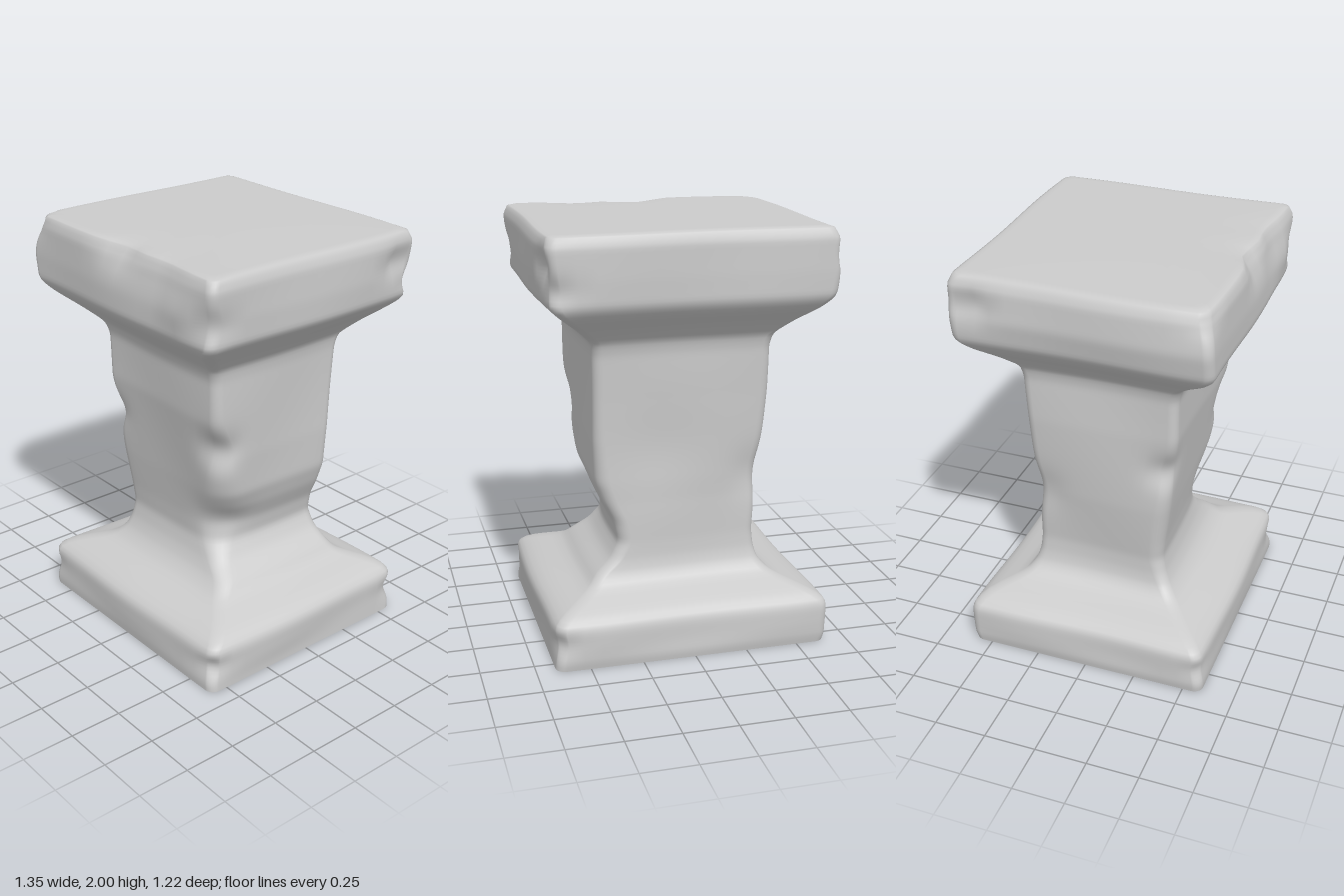
import * as THREE from 'three';

// Silhouette: height, then reach to -x, +x, -z (back), +z (front)
const PROFILE = [
  [0.00, 0.64, 0.66, 0.59, 0.59],
  [0.03, 0.65, 0.66, 0.60, 0.595],
  [0.18, 0.65, 0.67, 0.60, 0.595],
  [0.22, 0.64, 0.66, 0.59, 0.58],
  [0.26, 0.56, 0.60, 0.54, 0.50],
  [0.30, 0.43, 0.47, 0.41, 0.39],
  [0.36, 0.38, 0.42, 0.37, 0.33],
  [0.42, 0.365, 0.345, 0.355, 0.30],
  [0.50, 0.36, 0.30, 0.35, 0.28],
  [0.60, 0.37, 0.32, 0.35, 0.29],
  [0.70, 0.38, 0.37, 0.35, 0.305],
  [0.80, 0.39, 0.405, 0.355, 0.32],
  [1.00, 0.40, 0.42, 0.36, 0.345],
  [1.20, 0.41, 0.425, 0.365, 0.37],
  [1.42, 0.41, 0.43, 0.375, 0.375],
  [1.48, 0.425, 0.44, 0.39, 0.395],
  [1.55, 0.50, 0.51, 0.46, 0.47],
  [1.63, 0.60, 0.605, 0.56, 0.565],
  [1.68, 0.645, 0.66, 0.595, 0.605],
  [1.80, 0.67, 0.67, 0.60, 0.605],
  [1.95, 0.66, 0.67, 0.60, 0.595],
  [1.985, 0.635, 0.65, 0.58, 0.575],
];

// Local wear: centre x,y,z, radius, push x,y,z
const DENTS = [
  [0.02, 2.00, 0.60, 0.11, 0, -0.02, -0.06],
  [0.66, 1.78, 0.56, 0.08, -0.02, 0, -0.05],
  [0.45, 1.82, 0.60, 0.10, 0, 0, 0.02],
  [0.30, 1.98, 0.60, 0.14, 0, -0.01, -0.03],
  [-0.66, 1.85, -0.50, 0.08, 0.04, 0, 0.01],
  [0.66, 1.85, -0.50, 0.07, -0.04, 0, 0.01],
  [0.65, 1.75, -0.60, 0.07, -0.02, 0, 0.03],
  [-0.65, 1.95, 0.58, 0.07, 0.02, -0.01, -0.02],
  [0.66, 0.12, 0.59, 0.06, -0.03, 0, -0.03],
  [-0.65, 0.12, 0.59, 0.06, 0.02, 0, -0.02],
  [0.66, 0.12, -0.60, 0.07, -0.03, 0, 0.03],
  [-0.40, 1.02, 0.33, 0.09, 0.04, 0, -0.02],
  [0.40, 1.05, 0.33, 0.10, -0.03, 0, -0.05],
  [0.30, 0.62, 0.22, 0.12, -0.02, 0, -0.04],
  [-0.38, 0.80, -0.34, 0.12, 0.02, 0, 0.02],
  [0.10, 0.95, -0.36, 0.22, 0, 0, 0.02],
];

const lerp = THREE.MathUtils.lerp;

function sample(y) {
  let i = 1;
  while (i < PROFILE.length - 1 && PROFILE[i][0] < y) i++;
  const a = PROFILE[i - 1], b = PROFILE[i];
  const t = THREE.MathUtils.clamp((y - a[0]) / (b[0] - a[0]), 0, 1);
  return a.map((v, k) => lerp(v, b[k], t));
}

// Averages neighbouring heights so mouldings flow softly
function softSample(y) {
  const s = [-0.018, 0, 0.018].map(d => sample(y + d));
  return s[0].map((_, k) => (s[0][k] + s[1][k] * 2 + s[2][k]) / 4);
}

// Corner radii in order front-left, front-right, back-right, back-left
function cornerRadii(y) {
  const shaft = Math.exp(-(((y - 0.72) / 0.3) ** 2));
  return [0.045 + 0.1 * shaft, 0.045 + 0.025 * shaft, 0.045, 0.045 + 0.02 * shaft];
}

function wear(p) {
  const x = p.x, y = p.y, z = p.z;
  const edge = THREE.MathUtils.smoothstep(y, 0, 0.12);
  p.x += edge * 0.006 * Math.sin(5 * y + 6 * z);
  p.z += edge * 0.006 * Math.sin(6 * x + 4 * y + 1);
  if (y > 1.9) p.y += 0.005 * Math.cos(3 * x) * Math.cos(2 * z);
  for (const [cx, cy, cz, r, dx, dy, dz] of DENTS) {
    const d2 = (x - cx) ** 2 + (y - cy) ** 2 + (z - cz) ** 2;
    const w = Math.exp(-d2 / (r * r));
    p.x += dx * w; p.y += dy * w; p.z += dz * w;
  }
  return p;
}

// Rounded rectangular section at a height, optionally shrunk towards its centre
function section(y, shrink = 1) {
  const [, xm, xp, zm, zp] = softSample(y);
  const radii = cornerRadii(y);
  const corners = [[xp, zp], [-xm, zp], [-xm, -zm], [xp, -zm]];
  const arcs = corners.map(([x, z], c) => {
    const r = radii[c], arc = [];
    for (let k = 0; k <= 6; k++) {
      const a = (c + k / 6) * Math.PI / 2;
      arc.push([x - Math.sign(x) * r + r * Math.cos(a), z - Math.sign(z) * r + r * Math.sin(a)]);
    }
    return arc;
  });
  const ring = [];
  arcs.forEach((arc, c) => {
    ring.push(...arc);
    const a = arc[6], b = arcs[(c + 1) % 4][0];
    for (let k = 1; k < 14; k++) ring.push([lerp(a[0], b[0], k / 14), lerp(a[1], b[1], k / 14)]);
  });
  return ring.map(([x, z]) => wear(new THREE.Vector3(x * shrink, y, z * shrink)));
}

// Skin through closed rings that share the same point count
function skin(rings) {
  const n = rings[0].length, index = [];
  for (let i = 0; i < rings.length - 1; i++) {
    for (let j = 0; j < n; j++) {
      const a = i * n + j, b = i * n + (j + 1) % n;
      index.push(a, a + n, b, b, a + n, b + n);
    }
  }
  const g = new THREE.BufferGeometry().setFromPoints(rings.flat());
  g.setIndex(index);
  g.computeVertexNormals();
  return g;
}

export function createModel() {
  const group = new THREE.Group();
  group.name = 'stonePedestal';
  const stone = new THREE.MeshStandardMaterial({ color: 0xcccccc });
  const add = (name, geometry) => {
    const mesh = new THREE.Mesh(geometry, stone);
    mesh.name = name;
    group.add(mesh);
  };

  // Plinth, shaft and capital as one worn block, closed over the top
  const rings = [];
  const top = 1.985, steps = 110;
  for (let i = 0; i <= steps; i++) rings.push(section(top * i / steps));
  for (const s of [0.985, 0.96, 0.92, 0.85, 0.7, 0.5, 0.25, 0.001]) {
    const lift = 0.008 * Math.min(1, (1 - s) / 0.04);
    const ring = section(top, s);
    ring.forEach(p => { p.y += lift; });
    rings.push(ring);
  }
  add('pedestalBody', skin(rings));

  // Flat underside with a crisp edge
  add('underside', skin([0.001, 0.5, 1].map(s => section(0, s))));
  return group;
}
